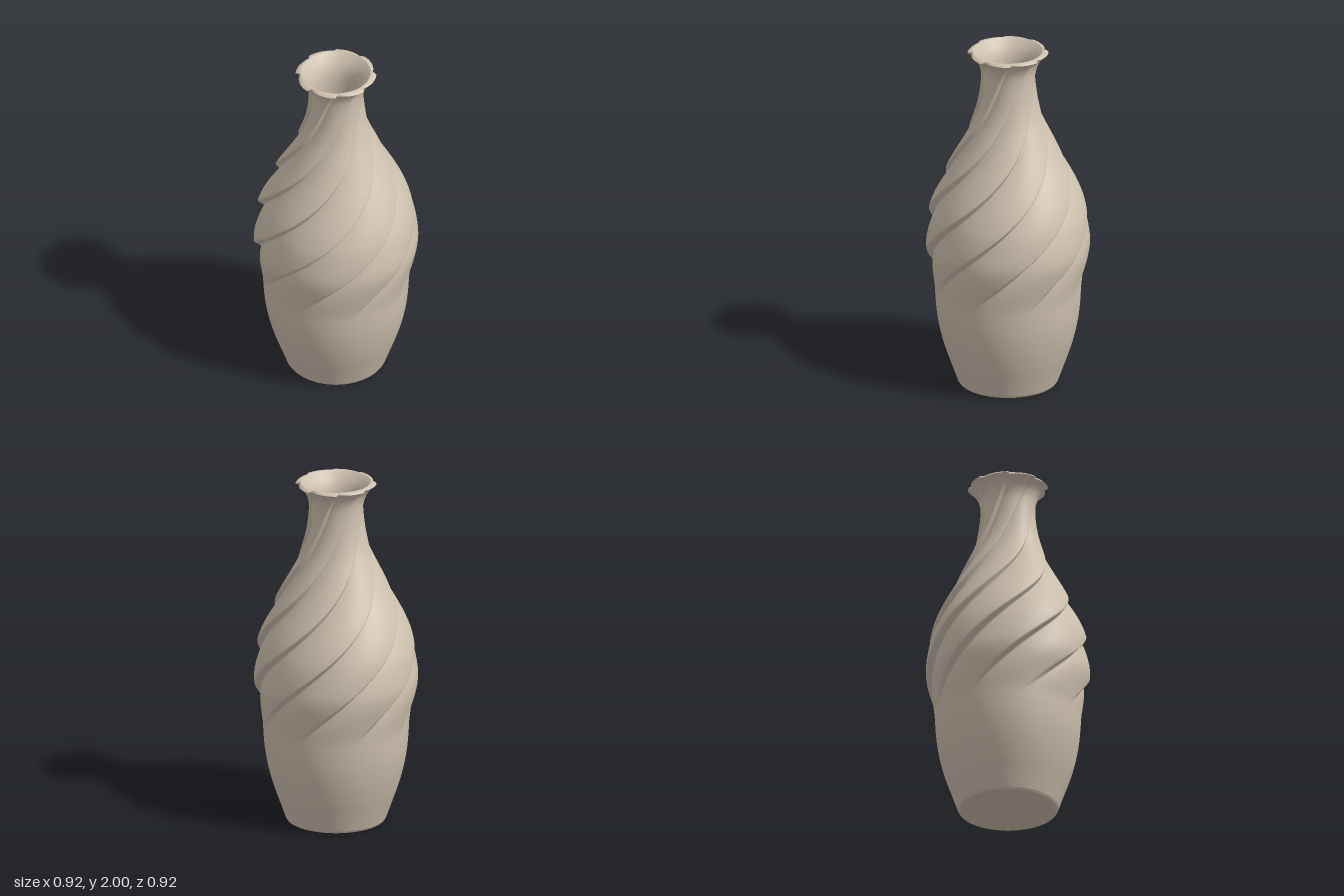
import * as THREE from 'three';

const RIBS = 8;
const clay = new THREE.MeshStandardMaterial({ color: 0xcdc0ae });
clay.name = 'clay';

// One rib around the body: a steep rounded step, then a long falling slope.
const STEPS = [0, 0.02, 0.04, 0.06, 0.08, 0.1, 0.13, 0.18, 0.25, 0.33, 0.42, 0.51, 0.6, 0.69, 0.78, 0.86, 0.92, 0.97];
const ribShape = (t) =>
  t < 0.1 ? THREE.MathUtils.smoothstep(t, 0, 0.1) : 1 - ((t - 0.1) / 0.9) ** 2;

// The ribs turn 150 degrees per unit of height.
const twist = (y) => THREE.MathUtils.degToRad(-55 + 150 * (2 - Math.max(y, 0.45)));

// Rib depth: fades in above the plain foot and gets finer towards the neck.
const ribDepth = (y) =>
  THREE.MathUtils.smoothstep(y, 0.54, 0.88) *
  (0.043 - 0.021 * THREE.MathUtils.smoothstep(y, 1.0, 1.75));

// Skins closed rings, each given as [radius, height, rib depth].
function loft(name, rows) {
  const pos = [];
  const index = [];
  const n = RIBS * STEPS.length;
  rows.forEach(([r, y, depth]) => {
    for (let k = 0; k < RIBS; k++) {
      for (const t of STEPS) {
        const a = twist(y) + ((k + t) / RIBS) * Math.PI * 2;
        const rad = r + depth * ribShape(t);
        pos.push(rad * Math.cos(a), y, rad * Math.sin(a));
      }
    }
  });
  for (let j = 0; j < rows.length - 1; j++) {
    for (let i = 0; i < n; i++) {
      const a = j * n + i;
      const b = j * n + ((i + 1) % n);
      index.push(a, a + n, b, b, a + n, b + n);
    }
  }
  const geo = new THREE.BufferGeometry();
  geo.setAttribute('position', new THREE.Float32BufferAttribute(pos, 3));
  geo.setIndex(index);
  geo.computeVertexNormals();
  const mesh = new THREE.Mesh(geo, clay);
  mesh.name = name;
  return mesh;
}

// Smooth profile through [radius, height] points.
const profile = (points, count) =>
  new THREE.SplineCurve(points.map(([r, y]) => new THREE.Vector2(r, y))).getPoints(count);

export function createModel() {
  const vase = new THREE.Group();
  vase.name = 'vase';

  // Outer wall with twisted ribs
  const outer = profile([
    [0.284, 0.012], [0.315, 0.1], [0.35, 0.2], [0.378, 0.3], [0.397, 0.4], [0.407, 0.5],
    [0.411, 0.6], [0.415, 0.7], [0.421, 0.85], [0.409, 1.0], [0.386, 1.1], [0.35, 1.2],
    [0.306, 1.3], [0.259, 1.4], [0.214, 1.5], [0.174, 1.6], [0.148, 1.7], [0.136, 1.8],
    [0.138, 1.88], [0.153, 1.93], [0.178, 1.965], [0.205, 1.988],
  ], 180);
  vase.add(loft('outerWall', outer.map((p) => [p.x, p.y, ribDepth(p.y)])));

  // Rim between the ribbed edge and the round mouth
  vase.add(loft('rim', [
    [0.205, 1.988, ribDepth(1.988)], [0.203, 1.997, 0.014], [0.2, 2, 0.004], [0.194, 2, 0],
  ]));

  // Hollow inside
  const inner = profile([
    [0.194, 2], [0.17, 1.975], [0.143, 1.935], [0.126, 1.88], [0.122, 1.8], [0.13, 1.7],
    [0.152, 1.6], [0.19, 1.5], [0.28, 1.3], [0.36, 1.1], [0.392, 0.85], [0.38, 0.5],
    [0.33, 0.22], [0.27, 0.05],
  ], 70);
  vase.add(loft('innerWall', inner.map((p) => [p.x, p.y, 0])));
  vase.add(loft('innerFloor', [[0.27, 0.05, 0], [0, 0.05, 0]]));

  // Underside with a small bevelled edge
  vase.add(loft('base', [[0, 0, 0], [0.276, 0, 0]]));
  vase.add(loft('baseBevel', [[0.276, 0, 0], [0.284, 0.012, 0]]));

  return vase;
}
